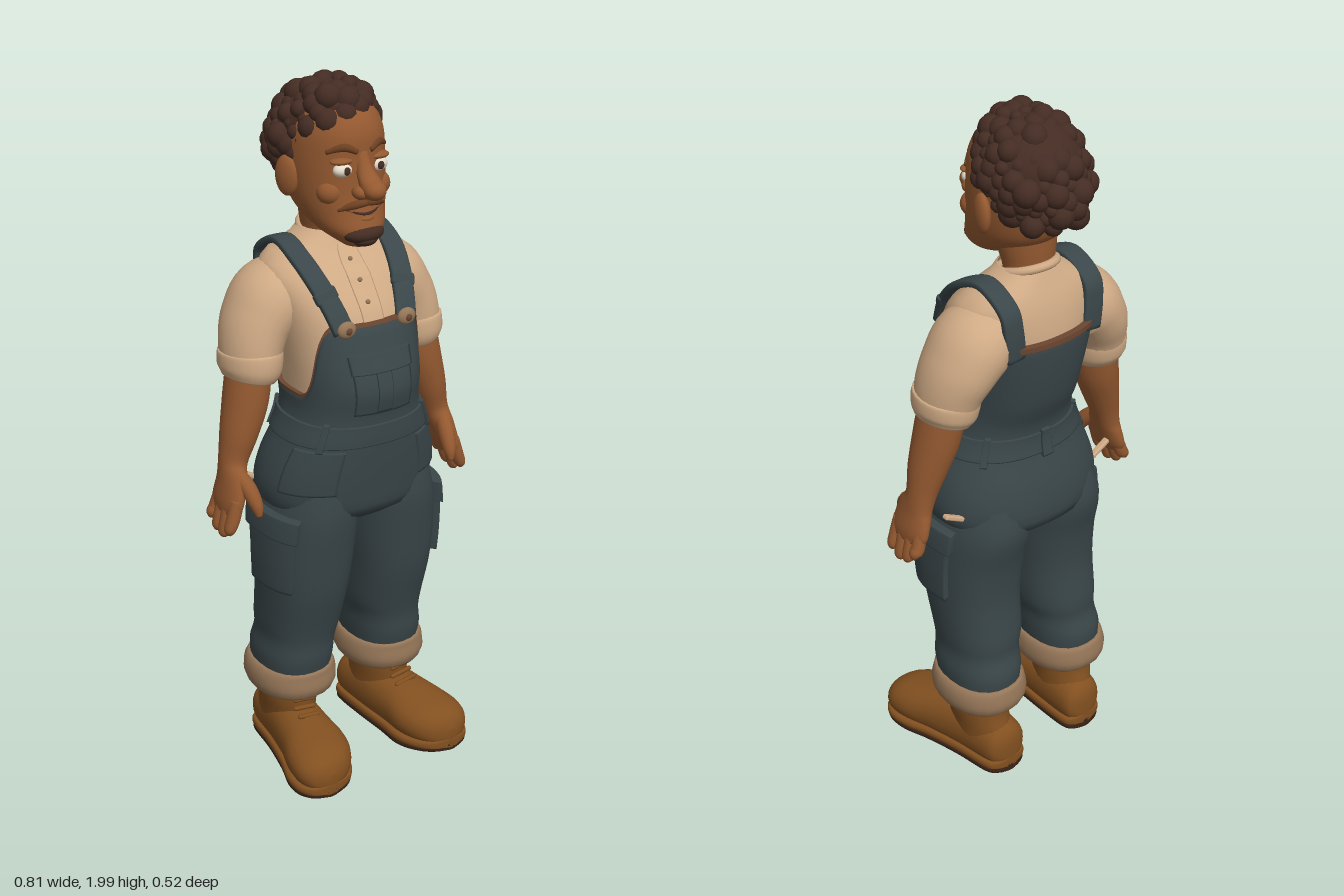
import * as THREE from 'three';
import { mergeGeometries } from 'three/addons/utils/BufferGeometryUtils.js';
import { RoundedBoxGeometry } from 'three/addons/geometries/RoundedBoxGeometry.js';

const mat = (name, color) => Object.assign(new THREE.MeshStandardMaterial({ color, side: THREE.DoubleSide }), { name });
const M = {
  denim: mat('denim', 0x3a4649), shirt: mat('shirt cloth', 0xcfaa85), skin: mat('skin', 0x945930),
  hair: mat('hair', 0x442c23), boot: mat('boot leather', 0x825020), sole: mat('boot sole', 0x3a2418),
  cuff: mat('trouser lining', 0x957658), white: mat('eye white', 0xe6dccb),
  stubble: mat('stubble', 0x6e4122), trim: mat('brown trim', 0x6b4630),
};
const POW = 2.3;
const sPow = (v, n) => Math.sign(v) * Math.abs(v) ** (2 / n);
const smooth = THREE.MathUtils.smoothstep, clamp = THREE.MathUtils.clamp;

// Cross-sections are [x, y, z, half width, half depth]
const BODY = [
  [0, 0.79, -0.015, 0.13, 0.13], [0, 0.825, -0.015, 0.225, 0.172], [0, 0.88, -0.012, 0.247, 0.18], [0, 0.96, 0, 0.234, 0.178],
  [0, 1.05, 0.018, 0.198, 0.168], [0, 1.12, 0.02, 0.174, 0.168], [0, 1.2, 0.01, 0.174, 0.19],
  [0, 1.3, -0.015, 0.184, 0.185], [0, 1.4, -0.038, 0.2, 0.17], [0, 1.48, -0.062, 0.215, 0.135],
  [0, 1.53, -0.08, 0.187, 0.1], [0, 1.565, -0.085, 0.1, 0.078], [0, 1.59, -0.085, 0.082, 0.07]];
const HEAD = [
  [0, 1.572, 0.07, 0.04, 0.045], [0, 1.61, 0.03, 0.085, 0.1], [0, 1.66, -0.018, 0.113, 0.135], [0, 1.72, -0.038, 0.126, 0.145],
  [0, 1.8, -0.05, 0.13, 0.152], [0, 1.87, -0.055, 0.122, 0.152], [0, 1.925, -0.06, 0.095, 0.12], [0, 1.955, -0.06, 0.04, 0.05]];
const LEG = [[0.155, 0.27, -0.058, 0.1, 0.125], [0.153, 0.34, -0.052, 0.106, 0.136], [0.147, 0.4, -0.042, 0.104, 0.13],
  [0.142, 0.46, -0.035, 0.113, 0.136], [0.14, 0.58, -0.012, 0.12, 0.146], [0.135, 0.7, -0.008, 0.127, 0.16],
  [0.128, 0.82, -0.014, 0.125, 0.18], [0.118, 0.93, -0.006, 0.1, 0.165]];

// Smooth blend through a list of cross-sections
function sample(sec, t) {
  const k = Math.min(Math.floor(t), sec.length - 2), f = t - k, at = i => sec[clamp(i, 0, sec.length - 1)];
  return sec[0].map((_, c) => {
    const [a, b, d, e] = [at(k - 1)[c], at(k)[c], at(k + 1)[c], at(k + 2)[c]];
    return b + 0.5 * f * (d - a + f * (2 * a - 5 * b + 4 * d - e + f * (3 * (b - d) + e - a)));
  });
}
function sampleAtY(sec, y) {
  let k = 0;
  while (k < sec.length - 2 && sec[k + 1][1] < y) k++;
  return sample(sec, k + clamp((y - sec[k][1]) / (sec[k + 1][1] - sec[k][1]), 0, 1));
}

// Surface from a point rule, optionally closed around
function grid(nu, nv, wrap, rule) {
  const pos = [], idx = [], cols = wrap ? nu : nu + 1;
  for (let j = 0; j <= nv; j++) for (let i = 0; i < cols; i++) pos.push(...rule(i, j));
  for (let j = 0; j < nv; j++) for (let i = 0; i < nu; i++) {
    const a = j * cols + i, b = j * cols + (i + 1) % cols, c = a + cols, d = b + cols;
    idx.push(a, c, b, b, c, d);
  }
  const g = new THREE.BufferGeometry();
  g.setAttribute('position', new THREE.Float32BufferAttribute(pos, 3));
  g.setIndex(idx);
  g.computeVertexNormals();
  return g;
}

// Closed solid swept through cross-sections
function loft(sec, { axis, ref = [0, 0, 1], n = 2, seg = 24, sub = 5 } = {}) {
  const rows = (sec.length - 1) * sub, R = new THREE.Vector3(...ref), rings = [];
  for (let j = 0; j <= rows; j++) {
    const s = sample(sec, j / sub), T = new THREE.Vector3();
    if (axis) T.set(...axis);
    else {
      const p = sample(sec, Math.max(0, j / sub - 0.2)), q = sample(sec, Math.min(sec.length - 1, j / sub + 0.2));
      T.set(q[0] - p[0], q[1] - p[1], q[2] - p[2]).normalize();
    }
    const u = T.clone().cross(R).normalize();
    rings.push({ s, u, v: u.clone().cross(T) });
  }
  return grid(seg, rows + 2, true, (i, j) => {
    const { s, u, v } = rings[clamp(j - 1, 0, rows)], a = i / seg * Math.PI * 2, open = j > 0 && j < rows + 2 ? 1 : 0;
    const p = new THREE.Vector3(s[0], s[1], s[2]);
    return p.addScaledVector(u, open * s[3] * sPow(Math.cos(a), n)).addScaledVector(v, open * s[4] * sPow(Math.sin(a), n)).toArray();
  });
}

// Thin cloth layer over a body, between two angles (degrees, 90 is front) and two heights
function shell(sec, off, a0, a1, bottom, top) {
  const full = a1 - a0 >= 360, nu = full ? 96 : 24, nv = 24, val = (f, a) => typeof f === 'function' ? f(a) : f;
  return grid(nu, nv, full, (i, j) => {
    const fu = full ? i / nu : clamp((i - 1) / (nu - 2), 0, 1), fv = clamp((j - 1) / (nv - 2), 0, 1);
    const a = THREE.MathUtils.degToRad(a0 + (a1 - a0) * fu), y = THREE.MathUtils.lerp(val(bottom, a), val(top, a), fv);
    const rim = j === 0 || j === nv || (!full && (i === 0 || i === nu)), o = rim ? -0.004 : off, s = sampleAtY(sec, y);
    return [s[0] + (s[3] + o) * sPow(Math.cos(a), POW), y, s[2] + (s[4] + o) * sPow(Math.sin(a), POW)];
  });
}
function onBody(x, y, side, off) {
  const s = sampleAtY(BODY, y);
  return [x, y, s[2] + side * (s[4] * Math.max(0, 1 - (Math.abs(x) / s[3]) ** POW) ** (1 / POW) + off)];
}

export function createModel() {
  const model = new THREE.Group(), head = new THREE.Group();
  model.name = 'farmer';
  head.name = 'head';
  head.position.x = -0.008;
  model.add(head);
  const add = (name, geo, m, parent = model) => {
    const mesh = new THREE.Mesh(geo, m);
    mesh.name = name;
    parent.add(mesh);
    return mesh;
  };
  const ball = (name, m, p, s, parent = model) => {
    const b = add(name, new THREE.SphereGeometry(1, 20, 14), m, parent);
    b.position.set(...p);
    b.scale.set(...s);
    return b;
  };
  const box = (name, m, p, s, r) => {
    const b = add(name, new RoundedBoxGeometry(...s, 3, r), m);
    b.position.set(...p);
    return b;
  };

  // Shirt body, collar, placket and buttons
  add('shirt', shell(BODY, 0, -90, 270, 1.05, 1.585), M.shirt);
  const collar = add('collar', new THREE.TorusGeometry(0.077, 0.012, 10, 32), M.shirt);
  collar.position.set(0, 1.572, -0.083);
  collar.rotation.x = Math.PI / 2 + 0.28;
  add('placket', shell(BODY, 0.003, 84, 98, 1.36, 1.55), M.shirt);
  for (const y of [1.42, 1.47, 1.515]) ball('shirtButton', M.cuff, onBody(-0.008, y, 1, 0.004), [0.007, 0.007, 0.005]);

  // Overalls: seat, bib and back panel in one layer with a cut-away side
  const bibTop = a => {
    const s = Math.sin(a);
    return 1.17 + 0.2 * smooth(s, 0.2, 0.86) + 0.235 * smooth(-s, 0.3, 0.68);
  };
  add('overallsBody', shell(BODY, 0.011, -90, 270, 0.795, bibTop), M.denim);
  add('overallsEdge', shell(BODY, 0.013, -90, 270, a => bibTop(a) - 0.004, a => bibTop(a) + 0.004), M.trim);
  add('waistband', shell(BODY, 0.017, -90, 270, 1.04, 1.1), M.denim);
  add('backTrim', shell(BODY, 0.018, -130, -50, a => bibTop(a) - 0.01, a => bibTop(a) + 0.006), M.trim);
  add('bibPocket', shell(BODY, 0.017, 69, 117, 1.135, 1.28), M.denim);
  add('bibPocketFlap', shell(BODY, 0.021, 68, 118, 1.25, 1.3), M.denim);
  add('bibPocketPleat', shell(BODY, 0.02, 88, 98, 1.14, 1.27), M.denim);
  for (const a of [-90, -40, 40, 140, 220]) add('beltLoop', shell(BODY, 0.023, a - 3, a + 3, 1.03, 1.108), M.denim);
  for (const a of [15, 118]) add('hipPocket', shell(BODY, 0.015, a, a + 47, 0.9, 1.03), M.denim);

  for (const s of [1, -1]) {
    const L = sec => sec.map(([x, ...r]) => [x * s, ...r]);
    // Shoulder strap with slider and fastener
    const strap = [onBody(0.098, 1.36, 1, 0.013), onBody(0.113, 1.42, 1, 0.013), onBody(0.13, 1.48, 1, 0.013),
      onBody(0.142, 1.53, 1, 0.013), [0.143, 1.563, -0.085], onBody(0.142, 1.52, -1, 0.013), onBody(0.138, 1.46, -1, 0.014),
      onBody(0.13, 1.38, -1, 0.016)].map(p => [...p, 0.011, 0.031]);
    add('strap', loft(L(strap), { ref: [1, 0, 0], n: 4 }), M.denim);
    const slide = box('strapSlider', M.denim, onBody(0.122 * s, 1.45, 1, 0.018), [0.07, 0.035, 0.02], 0.008);
    slide.rotation.set(-0.5, 0, -0.25 * s);
    ball('strapFastener', M.cuff, onBody(0.095 * s, 1.368, 1, 0.022), [0.028, 0.024, 0.014]);
    ball('strapRivet', M.trim, onBody(0.095 * s, 1.368, 1, 0.034), [0.01, 0.01, 0.006]);

    // Sleeve with rolled cuff
    add('sleeve', loft(L([[0.11, 1.43, -0.09, 0.085, 0.1], [0.18, 1.41, -0.085, 0.102, 0.118], [0.228, 1.355, -0.08, 0.092, 0.114],
      [0.253, 1.3, -0.07, 0.084, 0.103], [0.265, 1.235, -0.06, 0.076, 0.092]])), M.shirt);
    add('sleeveCuff', loft(L([[0.26, 1.29, -0.066, 0.07, 0.088], [0.26, 1.275, -0.065, 0.085, 0.1], [0.265, 1.232, -0.061, 0.083, 0.098],
      [0.27, 1.205, -0.06, 0.07, 0.084]])), M.shirt);

    // Arm, palm, fingers and thumb
    add('arm', loft(L([[0.266, 1.26, -0.06, 0.06, 0.068], [0.285, 1.15, -0.052, 0.062, 0.068], [0.312, 1.06, -0.045, 0.052, 0.058],
      [0.335, 0.98, -0.042, 0.039, 0.045], [0.347, 0.93, -0.03, 0.033, 0.06], [0.362, 0.875, -0.027, 0.028, 0.069], [0.37, 0.845, -0.027, 0.02, 0.06]])), M.skin);
    [[-0.074, 0.81], [-0.043, 0.785], [-0.01, 0.778], [0.022, 0.795]].forEach(([z, y]) => add('finger', loft(L([
      [0.36, 0.89, z * 0.9, 0.019, 0.02], [0.375, 0.84, z, 0.019, 0.02], [0.387, y + 0.014, z, 0.016, 0.018], [0.391, y, z, 0.007, 0.008]]), { seg: 12 }), M.skin));
    add('thumb', loft(L([[0.342, 0.955, -0.01, 0.022, 0.024], [0.33, 0.92, 0.03, 0.023, 0.024], [0.322, 0.88, 0.057, 0.018, 0.019], [0.32, 0.85, 0.067, 0.008, 0.009]]), { seg: 12 }), M.skin);

    // Trouser leg with soft folds, cargo pocket and turn-up
    add('trouserLeg', loft(L(LEG), { axis: [0, 1, 0], n: POW }), M.denim);
    const side = (a, b) => s > 0 ? [a, b] : [180 - b, 180 - a];
    add('cargoPocket', shell(L(LEG), 0.018, ...side(-14, 42), 0.6, 0.79), M.denim);
    add('cargoFlap', shell(L(LEG), 0.025, ...side(-17, 45), 0.765, 0.83), M.denim);
    add('turnUp', loft(L([[0.155, 0.232, -0.058, 0.095, 0.115], [0.155, 0.222, -0.058, 0.112, 0.132], [0.155, 0.25, -0.058, 0.124, 0.146],
      [0.155, 0.285, -0.058, 0.122, 0.143], [0.154, 0.306, -0.056, 0.11, 0.136], [0.154, 0.302, -0.056, 0.09, 0.11]]), { axis: [0, 1, 0], n: 2.2 }), M.cuff);
    const tab = box('hipTab', M.shirt, [0.268 * s, 0.9, -0.095], [0.07, 0.014, 0.02], 0.005);
    tab.rotation.z = 0.5 * s;

    // Boot: shaft, foot, sole and laces
    const foot = L([[0.15, 0.07, -0.2, 0.015, 0.03], [0.15, 0.08, -0.19, 0.048, 0.055], [0.152, 0.085, -0.16, 0.068, 0.072], [0.16, 0.09, -0.05, 0.076, 0.085],
      [0.175, 0.087, 0.06, 0.086, 0.078], [0.188, 0.082, 0.14, 0.099, 0.068], [0.2, 0.076, 0.2, 0.09, 0.06], [0.207, 0.068, 0.24, 0.06, 0.045], [0.21, 0.06, 0.256, 0.015, 0.018]]);
    add('bootShaft', loft(L([[0.157, 0.06, -0.08, 0.07, 0.1], [0.16, 0.13, -0.07, 0.072, 0.108], [0.163, 0.19, -0.06, 0.078, 0.105], [0.163, 0.25, -0.06, 0.08, 0.105]]), { axis: [0, 1, 0] }), M.boot);
    const fore = { axis: [0, 0, 1], ref: [0, 1, 0] };
    add('bootFoot', loft(foot, { ...fore, n: 2.2 }), M.boot);
    add('bootWelt', loft(foot.map(([x, , z, w]) => [x, 0.032, z, w + 0.003, 0.016]), { ...fore, n: 4 }), M.boot);
    add('bootSole', loft(foot.map(([x, , z, w]) => [x, 0.013 + 0.06 * Math.max(0, z - 0.12), z, w, 0.013]), { ...fore, n: 4 }), M.sole);
    for (const [y, z] of [[0.163, 0.07], [0.178, 0.046], [0.205, 0.044]]) {
      const lace = add('lace', new THREE.CapsuleGeometry(0.007, 0.06, 4, 8), M.boot);
      lace.position.set(0.17 * s, y, z);
      lace.rotation.z = Math.PI / 2 + 0.15 * s;
    }

    // Ear, eye, brow, cheek, nostril and moustache half
    const ear = ball('ear', M.skin, [0.135 * s, 1.742, -0.055], [0.02, 0.055, 0.038], head);
    ear.rotation.y = -0.3 * s;
    ball('eyeWhite', M.white, [0.054 * s, 1.777, 0.084], [0.028, 0.019, 0.02], head);
    ball('pupil', M.hair, [0.052 * s, 1.777, 0.102], [0.01, 0.011, 0.005], head);
    ball('upperLid', M.skin, [0.055 * s, 1.8, 0.08], [0.034, 0.01, 0.024], head);
    ball('cheek', M.skin, [0.068 * s, 1.715, 0.052], [0.042, 0.036, 0.036], head);
    ball('nostril', M.skin, [0.027 * s, 1.722, 0.122], [0.019, 0.018, 0.026], head);
    add('eyebrow', loft(L([[0.02, 1.822, 0.1, 0.007, 0.007], [0.052, 1.836, 0.088, 0.011, 0.008], [0.09, 1.822, 0.06, 0.006, 0.006]]), { seg: 10 }), M.stubble, head);
    add('moustache', loft(L([[0, 1.69, 0.116, 0.009, 0.01], [0.035, 1.686, 0.108, 0.011, 0.01], [0.07, 1.672, 0.084, 0.005, 0.006]]), { seg: 10 }), M.stubble, head);
  }

  // Neck, skull, nose, mouth and beard
  add('neck', loft([[0, 1.5, -0.088, 0.075, 0.065], [0, 1.57, -0.08, 0.07, 0.066], [0, 1.63, -0.07, 0.08, 0.078], [0, 1.7, -0.06, 0.09, 0.09]], { axis: [0, 1, 0] }), M.skin, head);
  add('face', loft(HEAD, { axis: [0, 1, 0], n: 2.1, seg: 36 }), M.skin, head);
  add('nose', loft([[0, 1.825, 0.08, 0.02, 0.02], [0, 1.78, 0.1, 0.022, 0.026], [0, 1.745, 0.132, 0.03, 0.034], [0, 1.718, 0.136, 0.028, 0.034], [0, 1.702, 0.115, 0.012, 0.015]], { axis: [0, 1, 0] }), M.skin, head);
  ball('noseTip', M.skin, [0, 1.73, 0.15], [0.031, 0.026, 0.03], head);
  add('mouthLine', loft([[-0.058, 1.674, 0.094, 0.003, 0.004], [0, 1.66, 0.117, 0.004, 0.006], [0.058, 1.674, 0.094, 0.003, 0.004]], { seg: 8 }), M.hair, head);
  add('lowerLip', loft([[-0.04, 1.656, 0.1, 0.006, 0.007], [0, 1.645, 0.113, 0.009, 0.011], [0.04, 1.656, 0.1, 0.006, 0.007]], { seg: 10 }), M.skin, head);
  ball('goatee', M.hair, [0, 1.606, 0.098], [0.06, 0.028, 0.042], head);
  ball('goateeTip', M.hair, [0, 1.59, 0.102], [0.038, 0.02, 0.034], head);

  // Curly hair: a cap covered with uneven curls, swept forward at the top
  const cap = ball('hairCap', M.hair, [0, 1.858, -0.088], [0.133, 0.116, 0.134], head);
  cap.rotation.x = -0.25;
  let seed = 7;
  const rand = () => (seed = (seed * 16807) % 2147483647) / 2147483647;
  const curls = [], count = 150;
  for (let i = 0; i < count; i++) {
    const h = 1 - 2 * (i + 0.5) / count, w = (1 - h * h) ** 0.4, a = i * 2.39996, r = 0.017 + 0.021 * rand(), out = 0.94 + 0.14 * rand();
    const x = Math.cos(a) * w * 0.124 * out, z = -0.092 + 0.035 * h + Math.sin(a) * w * 0.126 * out;
    const y = 1.835 + h * 0.126 * out + 0.012 * Math.sin(a) * w;
    if (y < 1.725 + 1.05 * Math.max(0, z + 0.12)) continue;
    curls.push(new THREE.SphereGeometry(r, 12, 9).translate(x, Math.min(y, 1.998 - r), z));
  }
  add('curls', mergeGeometries(curls), M.hair, head);
  return model;
}
